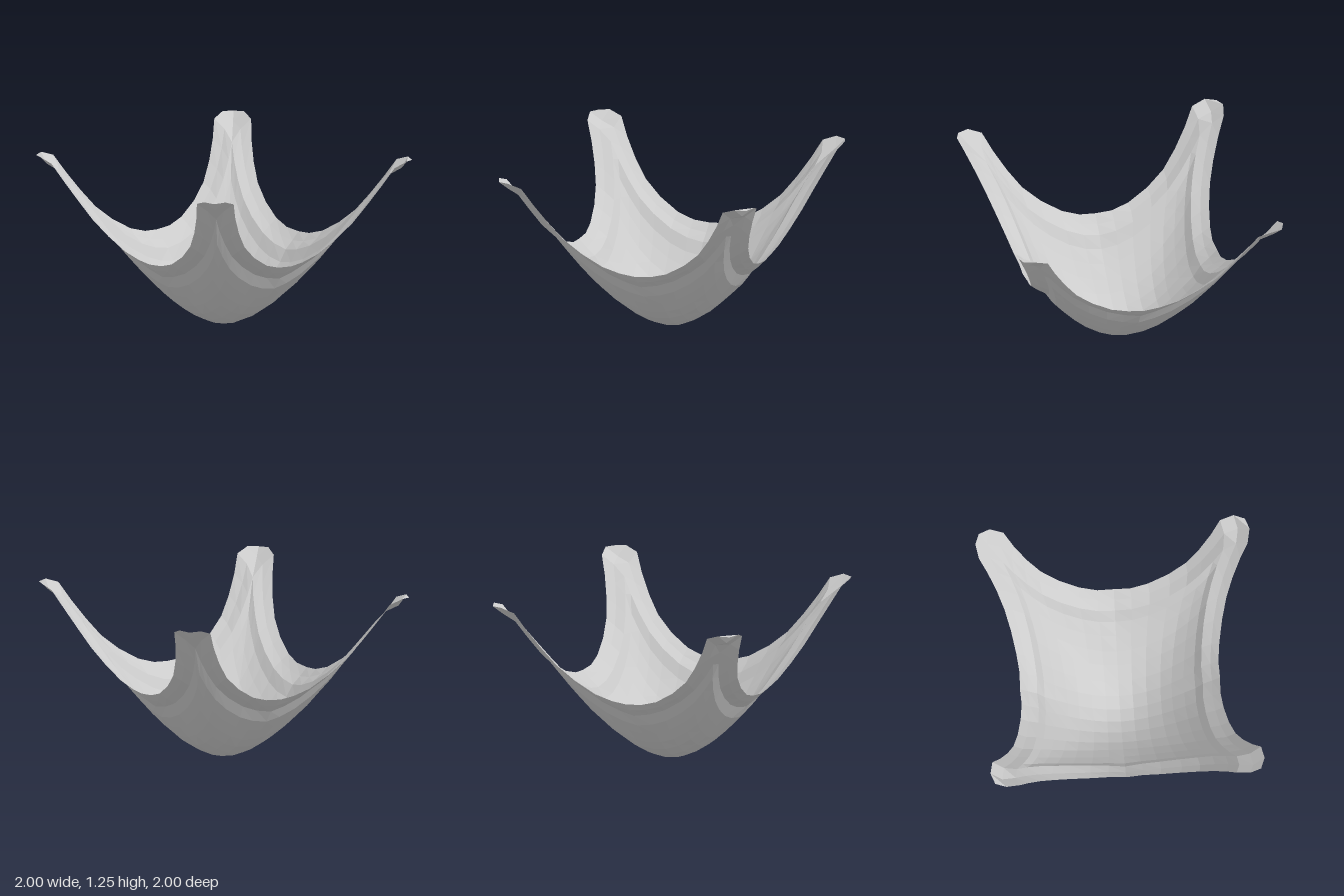
import * as THREE from 'three';

const N = 9; // grid cells from the middle to the rim

// Hanging section through the middle: [distance out, height]
const middle = [[0, 0], [0.1, 0.015], [0.2, 0.06], [0.3, 0.125], [0.38, 0.195],
  [0.47, 0.28], [0.55, 0.36], [0.62, 0.43], [0.67, 0.5], [0.73, 0.56]];
// Half of one rim, from its middle to the corner: [distance out, height, along]
const rim = [[0.73, 0.56, 0], [0.725, 0.57, 0.12], [0.74, 0.61, 0.25], [0.77, 0.7, 0.4],
  [0.81, 0.81, 0.53], [0.86, 0.94, 0.63], [0.92, 1.08, 0.72], [0.98, 1.21, 0.79],
  [1.0, 1.245, 0.89], [0.97, 1.24, 0.97]];

// One quarter of the sheet, blended between the middle sections and the rims
function clothPoint(i, j) {
  const u = i / N, v = j / N;
  const alongX = new THREE.Vector3(middle[i][0], middle[i][1], 0);
  const alongZ = new THREE.Vector3(0, middle[j][1], middle[j][0]);
  const frontRim = new THREE.Vector3(rim[i][2], rim[i][1], rim[i][0]);
  const sideRim = new THREE.Vector3(rim[j][0], rim[j][1], rim[j][2]);
  const p = new THREE.Vector3()
    .addScaledVector(alongX, 1 - v).addScaledVector(frontRim, v)
    .addScaledVector(alongZ, 1 - u).addScaledVector(sideRim, u)
    .addScaledVector(new THREE.Vector3(0.73, 0.56, 0), -u * (1 - v))
    .addScaledVector(new THREE.Vector3(0, 0.56, 0.73), -v * (1 - u))
    .addScaledVector(new THREE.Vector3(0.97, 1.24, 0.97), -u * v);
  // Sag that keeps the four corner straps flat across
  p.y -= 0.8 * (u * v) ** 2 * (1 - Math.max(u, v));
  // Soft crease parallel to the rim, fading out towards the corners
  const crease = (k) => 0.015 * Math.max(0, 1 - (k / 7) ** 2);
  if (i === 7) { p.x -= crease(j); p.y += crease(j); }
  if (j === 7) { p.z -= crease(i); p.y += crease(i); }
  return p;
}

export function createModel() {
  const group = new THREE.Group();
  group.name = 'hangingCloth';

  // Square grid draped into the four-cornered sling
  const geometry = new THREE.PlaneGeometry(2, 2, 2 * N, 2 * N).rotateX(-Math.PI / 2);
  const pos = geometry.attributes.position;
  for (let k = 0; k < pos.count; k++) {
    const x = pos.getX(k), z = pos.getZ(k);
    const p = clothPoint(Math.round(Math.abs(x) * N), Math.round(Math.abs(z) * N));
    pos.setXYZ(k, Math.sign(x) * p.x, p.y, Math.sign(z) * p.z);
  }
  geometry.computeVertexNormals();

  const cloth = new THREE.Mesh(geometry, new THREE.MeshStandardMaterial({
    color: 0xcccccc, flatShading: true, side: THREE.DoubleSide,
  }));
  cloth.name = 'clothSheet';
  group.add(cloth);
  return group;
}
